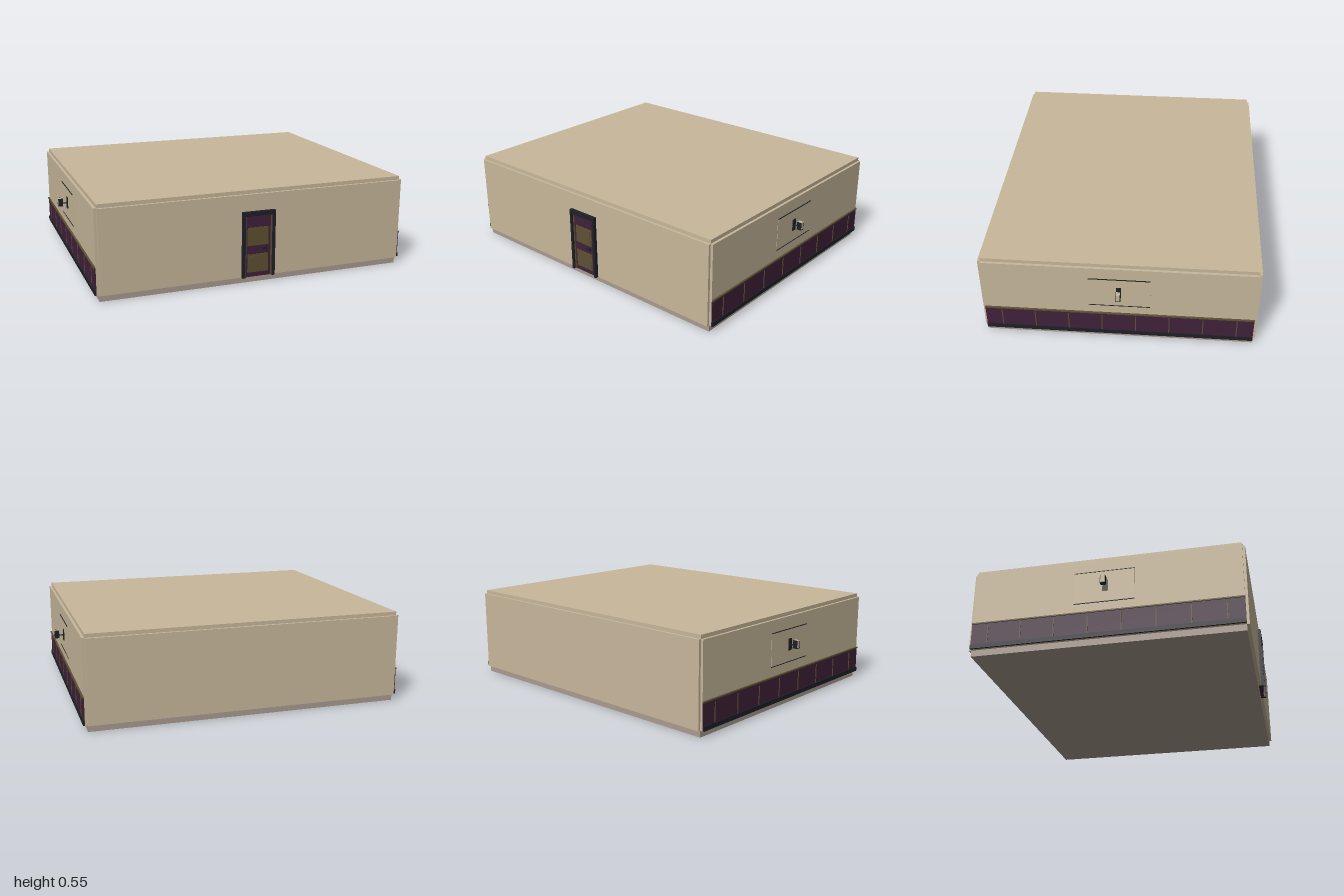
import * as THREE from 'three';

const material = (name, color) => {
  const m = new THREE.MeshStandardMaterial({ color });
  m.name = name;
  return m;
};

export function createModel() {
  const plaster = material('plaster', 0xc8b89b);
  const stone = material('stone', 0xa99b90);
  const plum = material('plum', 0x40213a);
  const olive = material('olive', 0x5e5133);
  const iron = material('iron', 0x1e2028);

  const model = new THREE.Group();
  model.name = 'room';

  // Box given by its limits on each axis
  const box = (parent, name, mat, [x0, x1], [y0, y1], [z0, z1]) => {
    const mesh = new THREE.Mesh(new THREE.BoxGeometry(x1 - x0, y1 - y0, z1 - z0), mat);
    mesh.position.set((x0 + x1) / 2, (y0 + y1) / 2, (z0 + z1) / 2);
    mesh.name = name;
    parent.add(mesh);
    return mesh;
  };
  const group = (name) => {
    const g = new THREE.Group();
    g.name = name;
    model.add(g);
    return g;
  };

  const W = 0.924, back = -0.782, front = 0.762, t = 0.015;
  const floorTop = 0.038, wallTop = 0.528, mid = (back + front) / 2;
  const depth = [back, front], wallY = [floorTop, wallTop];

  // Slabs and walls; the walls stand outside the slabs and leave notched corners
  box(model, 'floor', stone, [-W, W], [0, floorTop], depth);
  box(model, 'ceiling', plaster, [-W, W], [wallTop, 0.55], depth);
  box(model, 'backWall', plaster, [-W, W], wallY, [back - t, back]);
  const frontZ = [front, front + t];
  box(model, 'frontWallRight', plaster, [-W, -0.1], wallY, frontZ);
  box(model, 'frontWallLeft', plaster, [0.1, W], wallY, frontZ);
  box(model, 'frontWallAboveDoor', plaster, [-0.1, 0.1], [0.43, wallTop], frontZ);

  // Door
  const door = group('door');
  const frameZ = [front, 0.797];
  for (const s of [-1, 1]) {
    const span = (a, b) => (s > 0 ? [a, b] : [-b, -a]);
    box(door, 'doorJamb', iron, span(0.083, 0.1), [floorTop, 0.43], frameZ);
    box(door, 'doorStop', olive, span(0.076, 0.083), [floorTop, 0.405], [front, 0.788]);
  }
  box(door, 'doorHead', iron, [-0.1, 0.1], [0.405, 0.43], frameZ);
  box(door, 'doorLeaf', plum, [-0.076, 0.076], [floorTop, 0.405], [front, 0.781]);
  for (const y of [0.12, 0.28]) {
    box(door, 'doorPanel', olive, [-0.066, 0.062], [y - 0.054, y + 0.054], [0.781, 0.784]);
    box(door, 'doorPanelField', olive, [-0.056, 0.052], [y - 0.044, y + 0.044], [0.784, 0.786]);
  }
  box(door, 'doorHandlePlate', iron, [0.04, 0.054], [0.194, 0.217], [0.781, 0.785]);
  box(door, 'doorHandle', iron, [0.02, 0.052], [0.202, 0.211], [0.785, 0.793]);

  // Each side wall with wainscot, picture panel and lamp
  for (const s of [-1, 1]) {
    const side = group(s > 0 ? 'leftSide' : 'rightSide');
    const out = W + t;
    // Limits in x measured outwards from the wall face
    const x = (a, b) => (s > 0 ? [out + a, out + b] : [-out - b, -out - a]);

    box(side, 'sideWall', plaster, x(-t, 0), wallY, depth);
    box(side, 'wainscot', plum, x(0, 0.004), [floorTop, 0.192], depth);
    box(side, 'baseboard', iron, x(0, 0.01), [floorTop, 0.064], depth);
    box(side, 'wainscotRail', olive, x(0, 0.01), [0.192, 0.2], depth);
    for (let i = 0; i < 8; i++) {
      const z = mid + (i - 3.5) * 0.193;
      box(side, 'batten', olive, x(0.004, 0.007), [0.064, 0.178], [z - 0.003, z + 0.003]);
    }

    // Raised panel with thin dark trims
    const panelZ = [mid - 0.178, mid + 0.17];
    box(side, 'wallPanel', plaster, x(0, 0.002), [0.257, 0.453], panelZ);
    for (const y of [0.257, 0.453]) {
      box(side, 'panelTrim', iron, x(0, 0.004), [y - 0.002, y + 0.002], panelZ);
    }

    // Lamp: back plate, arm and pale shade with dark cheeks
    const z = [mid - 0.012, mid + 0.012];
    box(side, 'lampPlate', iron, x(0, 0.007), [0.325, 0.395], [mid - 0.014, mid + 0.014]);
    box(side, 'lampArm', iron, x(0.007, 0.034), [0.357, 0.363], [mid - 0.003, mid + 0.003]);
    box(side, 'lampShade', plaster, x(0.033, 0.061), [0.348, 0.392], z);
    box(side, 'lampBase', iron, x(0.033, 0.061), [0.344, 0.348], z);
    for (const e of [-1, 1]) {
      const c = mid + e * 0.0135;
      box(side, 'lampCheek', iron, x(0.033, 0.061), [0.344, 0.392], [c - 0.0015, c + 0.0015]);
    }
  }
  return model;
}
